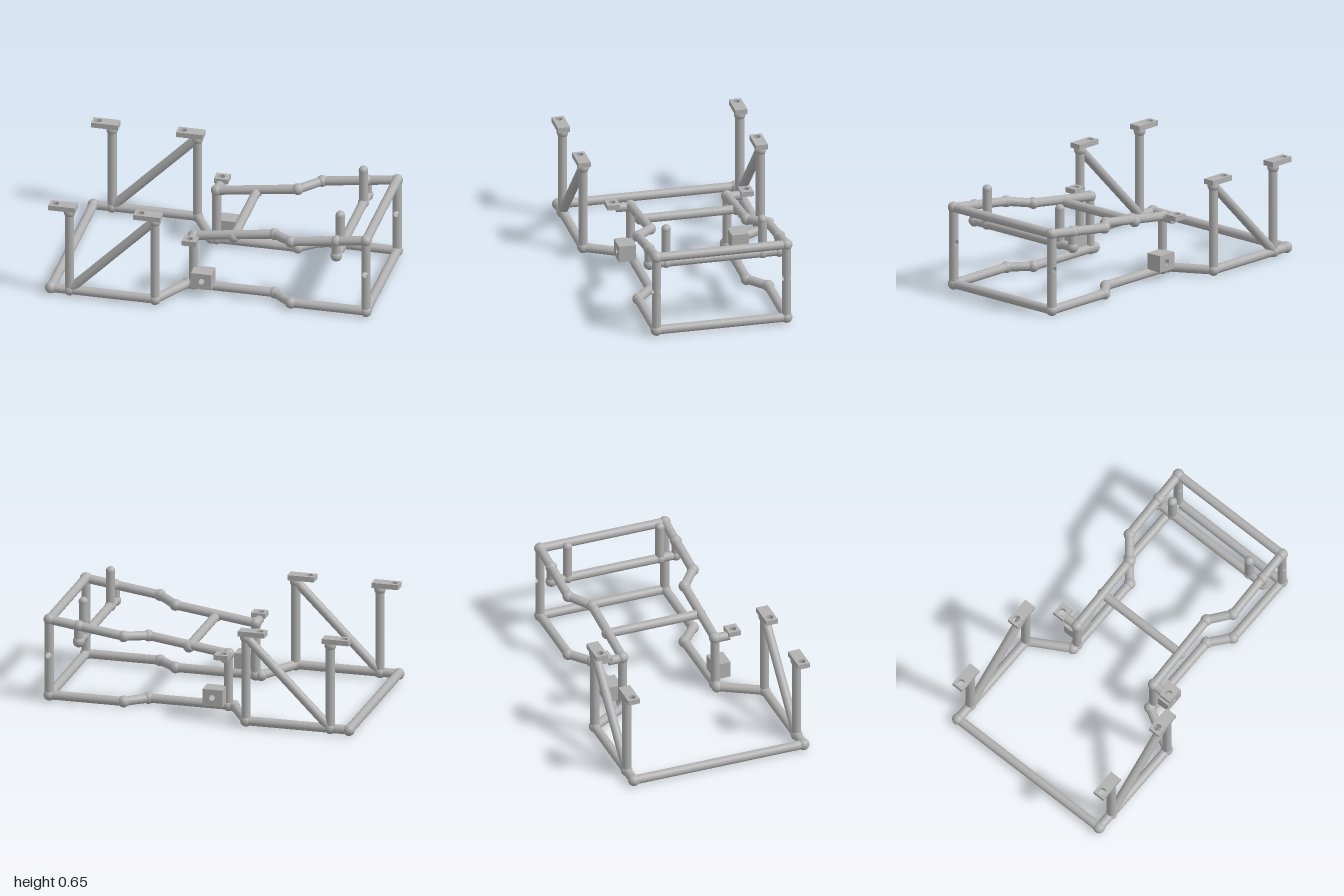
import * as THREE from 'three';

const R = 0.028;      // tube radius
const BALL = 0.036;   // joint radius
const Y0 = 0.037;     // floor frame height
const V = (x, y, z) => new THREE.Vector3(x, y, z);

export function createModel() {
  const steel = new THREE.MeshStandardMaterial({ color: 0xb0b0b0 });
  steel.name = 'grey steel';
  const root = new THREE.Group();
  root.name = 'tubeFrame';

  const add = (name, geo, pos) => {
    const m = new THREE.Mesh(geo, steel);
    m.name = name;
    if (pos) m.position.copy(pos);
    root.add(m);
    return m;
  };
  const ball = (name, p, r = BALL) => add(name + 'Joint', new THREE.SphereGeometry(r, 24, 16), p);
  const tube = (name, a, b) => {
    const d = b.clone().sub(a);
    const m = add(name, new THREE.CylinderGeometry(R, R, d.length(), 28), a.clone().add(b).multiplyScalar(0.5));
    m.quaternion.setFromUnitVectors(V(0, 1, 0), d.normalize());
  };
  // Tubes along a list of points, with a ball at every point
  const run = (name, pts) => pts.forEach((p, i) => {
    ball(name, p);
    if (i) tube(name, pts[i - 1], p);
  });
  // Rectangular block with a round hole, extruded along its local z
  const drilled = (w, h, depth, hx, hy, hr) => {
    const s = new THREE.Shape([[-w, -h], [w, -h], [w, h], [-w, h]].map(([x, y]) => new THREE.Vector2(x / 2, y / 2)));
    s.holes.push(new THREE.Path().absarc(hx, hy, hr, 0, Math.PI * 2, true));
    return new THREE.ExtrudeGeometry(s, { depth, bevelEnabled: false, curveSegments: 24 });
  };
  // Horizontal plate with a hole; y is its underside
  const plate = (name, x, y, z, w, d, hx) => {
    const g = drilled(w, d, 0.032, hx, 0, 0.022);
    g.rotateX(-Math.PI / 2);
    add(name, g, V(x, y, z));
  };

  // Height of the sloping upper rail
  const railY = x => 0.367 + (x + 0.135) * 0.139;
  const END = 0.965;

  for (const s of [1, -1]) {
    const side = s > 0 ? 'front' : 'back';
    const wide = 0.553 * s, narrow = 0.301 * s, mid = 0.406 * s;

    // Floor rail
    run(side + 'FloorRail', [
      V(-END, Y0, wide), V(-0.316, Y0, wide), V(-0.17, Y0, narrow),
      V(0.37, Y0, narrow), V(0.497, Y0, mid), V(END, Y0, mid),
    ]);

    // Sloping upper rail
    run(side + 'UpperRail', [[-0.135, narrow], [0.37, narrow], [0.497, mid], [END, mid]]
      .map(([x, z]) => V(x, railY(x), z)));

    // Tall mounting posts with plates, and their diagonal brace
    for (const [x, px, hx] of [[-0.848, -0.888, -0.048], [-0.316, -0.358, -0.046]]) {
      run(side + 'MountPost', [V(x, Y0, wide), V(x, 0.57, wide)]);
      plate(side + 'MountPlate', px, 0.585, wide, 0.168, 0.076, hx);
    }
    tube(side + 'Diagonal', V(-0.84, Y0 + 0.01, wide), V(-0.325, 0.565, wide));

    // Short post with outrigger and small plate
    run(side + 'ShortPost', [V(-0.135, Y0, narrow), V(-0.135, railY(-0.135), narrow)]);
    tube(side + 'Outrigger', V(-0.135, 0.363, narrow), V(-0.135, 0.363, 0.392 * s));
    plate(side + 'SmallPlate', -0.128, 0.372, 0.417 * s, 0.088, 0.078, -0.006);

    // Block with a blind hole on the outer face
    const block = new THREE.Group();
    block.name = side + 'Block';
    const face = new THREE.Mesh(drilled(0.128, 0.104, 0.08, 0.004 * s, 0, 0.019), steel);
    face.name = 'blockFace';
    const back = new THREE.Mesh(new THREE.BoxGeometry(0.128, 0.104, 0.026), steel);
    back.name = 'blockBack';
    back.position.z = -0.013;
    block.add(face, back);
    block.position.set(-0.064, 0.111, 0.326 * s);
    if (s < 0) block.rotation.y = Math.PI;
    root.add(block);

    // End post, drilled crosswise
    const hy = 0.298, hr = 0.019;
    tube(side + 'EndPostLower', V(END, Y0, mid), V(END, hy - hr, mid));
    tube(side + 'EndPostUpper', V(END, hy + hr, mid), V(END, railY(END), mid));
    add(side + 'EndPostDrilled', drilledSection(hr), V(END, hy, mid));

    // Drop link and upright at the raised cross bar
    run(side + 'DropLink', [V(0.78, railY(0.78), mid), V(0.78, 0.395, mid)]);
    tube(side + 'Upright', V(0.78, 0.395, narrow), V(0.78, 0.617, narrow));
    ball(side + 'UprightBase', V(0.78, 0.395, narrow), 0.034);
    ball(side + 'UprightTip', V(0.78, 0.617, narrow), R + 0.001);
  }

  // Cross bars: x, y, half width
  for (const [name, x, y, z] of [
    ['wideFloorBar', -END, Y0, 0.553], ['endFloorBar', END, Y0, 0.406],
    ['endUpperBar', END, railY(END), 0.406], ['middleBar', 0.115, 0.39, 0.301],
    ['hangingBar', 0.78, 0.395, 0.406],
  ]) run(name, [V(x, y, -z), V(x, y, z)]);

  return root;
}

// Piece of round tube cut through along z by a hole of radius hr
function drilledSection(hr) {
  const rows = 16, cols = 14, pos = [], index = [];
  for (const s of [1, -1]) for (const chord of [false, true]) {
    const base = pos.length / 3;
    for (let i = 0; i <= rows; i++) {
      const t = -Math.PI / 2 + Math.PI * i / rows;
      const y = hr * Math.sin(t), a = Math.acos(Math.min(1, hr * Math.cos(t) / R));
      for (let j = 0; j <= cols; j++) {
        const b = a * (2 * j / cols - 1);
        pos.push(s * (chord ? R * Math.cos(a) : R * Math.cos(b)), y, R * Math.sin(b));
        if (i < rows && j < cols) {
          const p = base + i * (cols + 1) + j, q = p + cols + 1;
          // Outer wall faces out, hole wall faces the hole
          if ((s > 0) !== chord) index.push(p, q, p + 1, p + 1, q, q + 1);
          else index.push(p, p + 1, q, p + 1, q + 1, q);
        }
      }
    }
  }
  const g = new THREE.BufferGeometry();
  g.setAttribute('position', new THREE.Float32BufferAttribute(pos, 3));
  g.setIndex(index);
  g.computeVertexNormals();
  return g;
}
